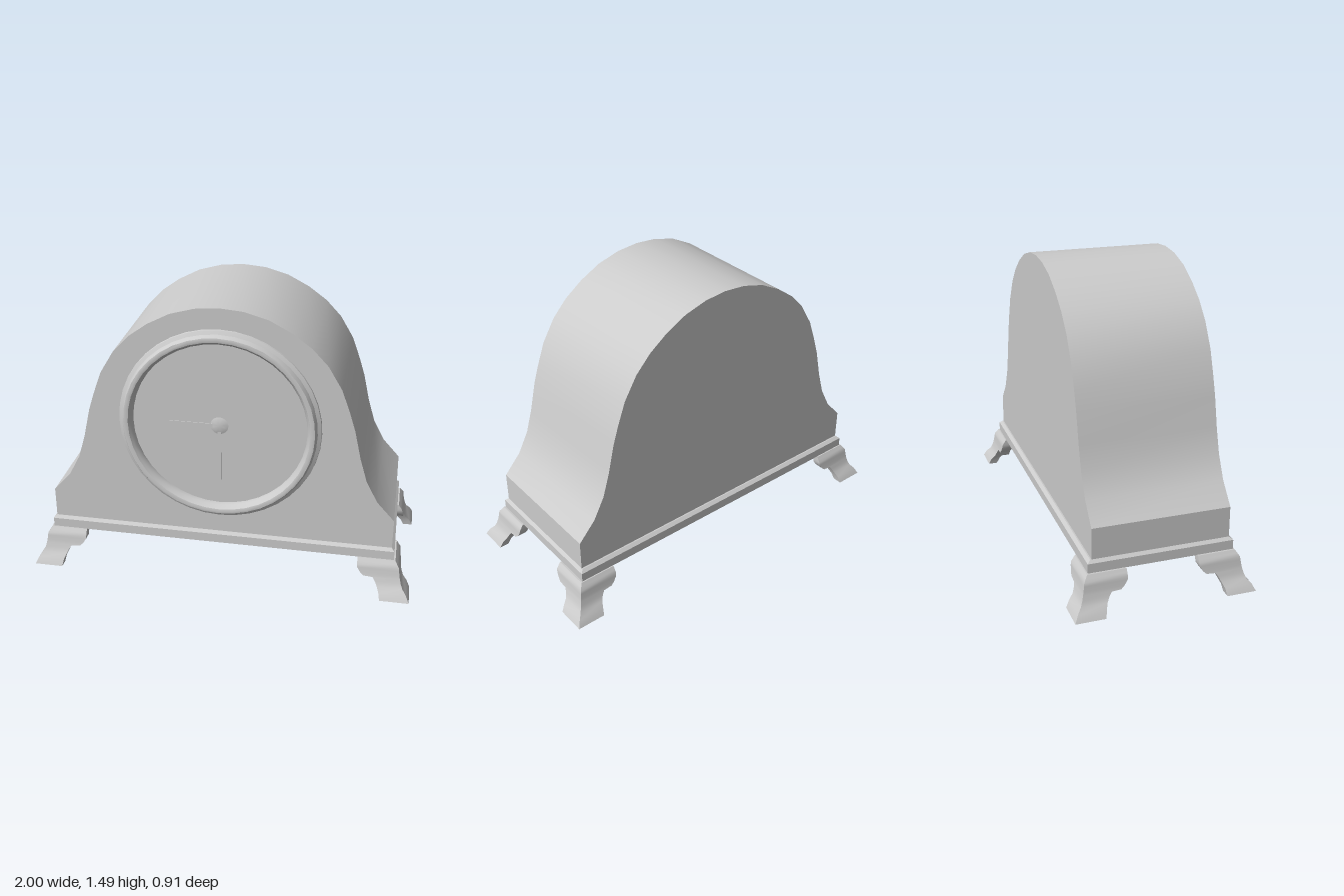
import * as THREE from 'three';
import { toCreasedNormals } from 'three/addons/utils/BufferGeometryUtils.js';

const material = new THREE.MeshStandardMaterial({ color: 0xcccccc });

function add(parent, name, geometry, x = 0, y = 0, z = 0) {
  const mesh = new THREE.Mesh(geometry, material);
  mesh.name = name;
  mesh.position.set(x, y, z);
  parent.add(mesh);
  return mesh;
}

// Closed solid through horizontal sections, bottom to top: [{ y, loop: [[x, z], ...] }]
function loft(sections, crease) {
  const flat = (s) => s.loop.map(([x, z]) => new THREE.Vector2(x, z));
  if (THREE.ShapeUtils.area(flat(sections[0])) < 0) {
    sections = sections.map((s) => ({ y: s.y, loop: [...s.loop].reverse() }));
  }
  const n = sections[0].loop.length;
  const positions = sections.flatMap((s) => s.loop.flatMap(([x, z]) => [x, s.y, z]));
  const index = [];
  for (let j = 0; j < sections.length - 1; j++) {
    for (let i = 0; i < n; i++) {
      const a = j * n + i, b = j * n + (i + 1) % n;
      index.push(a, a + n, b, b, a + n, b + n);
    }
  }
  const last = (sections.length - 1) * n;
  for (const [a, b, c] of THREE.ShapeUtils.triangulateShape(flat(sections[0]), [])) index.push(a, b, c);
  for (const [a, b, c] of THREE.ShapeUtils.triangulateShape(flat(sections.at(-1)), [])) {
    index.push(last + a, last + c, last + b);
  }
  const geometry = new THREE.BufferGeometry();
  geometry.setAttribute('position', new THREE.Float32BufferAttribute(positions, 3));
  geometry.setIndex(index);
  return toCreasedNormals(geometry, crease);
}

// Mitred bracket foot: [height, outer ogee inset, end of the wing], measured from the toe corner
const footRows = [
  [0, 0, 0.15], [0.035, 0.017, 0.157], [0.06, 0.038, 0.168], [0.085, 0.048, 0.18],
  [0.105, 0.053, 0.193], [0.108, 0.054, 0.24], [0.125, 0.057, 0.258], [0.15, 0.061, 0.274],
  [0.167, 0.063, 0.276], [0.182, 0.073, 0.276], [0.198, 0.083, 0.276],
];

function footGeometry(sx, sz) {
  const t = 0.05;
  return loft(footRows.map(([y, d, e]) => ({
    y,
    loop: [[d, d], [e, d], [e, d + t], [d + t, d + t], [d + t, e], [d, e]]
      .map(([u, v]) => [sx * (1 - u), sz * (0.456 - v)]),
  })), 0.5);
}

export function createModel() {
  const clock = new THREE.Group();
  clock.name = 'mantelClock';

  // Arched case
  const half = [
    [0.893, 0.25], [0.893, 0.418], [0.802, 0.519], [0.743, 0.631], [0.706, 0.755], [0.672, 0.905],
    [0.642, 1.0], [0.599, 1.118], [0.529, 1.235], [0.449, 1.32], [0.353, 1.39], [0.24, 1.449],
    [0.118, 1.483],
  ];
  const outline = [...half, [0, 1.493], ...half.map(([x, y]) => [-x, y]).reverse()];
  const caseShape = new THREE.Shape(outline.map(([x, y]) => new THREE.Vector2(x, y)));
  const caseGeometry = new THREE.ExtrudeGeometry(caseShape, { depth: 0.694, bevelEnabled: false });
  add(clock, 'case', toCreasedNormals(caseGeometry, 0.45), 0, 0, -0.344);

  // Plinth with a chamfered upper edge
  const rect = (x, z) => [[x, z], [-x, z], [-x, -z], [x, -z]];
  add(clock, 'plinth', loft([
    { y: 0.197, loop: rect(0.908, 0.367) },
    { y: 0.246, loop: rect(0.908, 0.367) },
    { y: 0.26, loop: rect(0.893, 0.351) },
  ], 0.2));

  // Four bracket feet
  for (const sx of [-1, 1]) {
    for (const sz of [-1, 1]) {
      add(clock, `${sz > 0 ? 'front' : 'back'}${sx > 0 ? 'Left' : 'Right'}Foot`, footGeometry(sx, sz));
    }
  }

  // Dial assembly on the front face
  const dial = new THREE.Group();
  dial.name = 'dial';
  dial.position.set(0, 0.876, 0.35);
  clock.add(dial);

  // Moulded ring
  const bezelProfile = [
    [0.505, -0.002], [0.513, 0.004], [0.511, 0.012], [0.493, 0.022], [0.489, 0.034], [0.482, 0.045],
    [0.472, 0.047], [0.459, 0.044], [0.452, 0.034], [0.443, 0.022], [0.441, -0.002],
  ].map(([r, h]) => new THREE.Vector2(r, h)).reverse();
  const bezel = new THREE.LatheGeometry(bezelProfile, 40);
  bezel.rotateX(Math.PI / 2);
  const ring = add(dial, 'bezel', toCreasedNormals(bezel, 0.6));
  ring.material = new THREE.MeshStandardMaterial({ color: 0xcccccc, side: THREE.DoubleSide });

  // Hands and hub
  add(dial, 'minuteHand', new THREE.BoxGeometry(0.018, 0.315, 0.004), 0, -0.157, 0.002);
  add(dial, 'hourHand', new THREE.BoxGeometry(0.255, 0.018, 0.004), -0.127, 0, 0.002);
  const hub = new THREE.CylinderGeometry(0.028, 0.046, 0.006, 24);
  hub.rotateX(Math.PI / 2);
  add(dial, 'hub', toCreasedNormals(hub, 0.5), 0, 0, 0.003);

  return clock;
}
